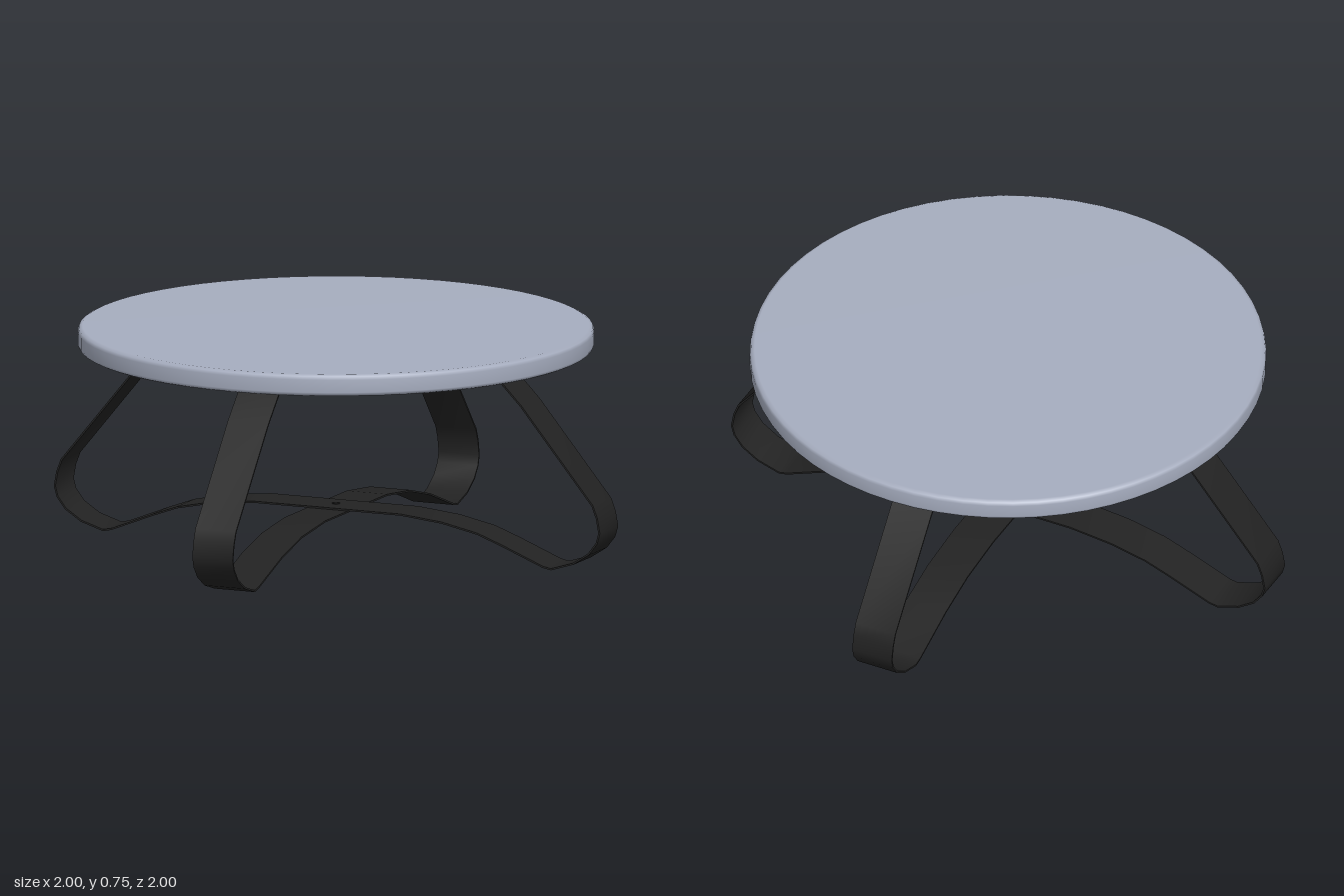
import * as THREE from 'three';
import { toCreasedNormals } from 'three/addons/utils/BufferGeometryUtils.js';

const STRAP_WIDTH = 0.148;
const STRAP_HALF = 0.003; // half of the sheet thickness

// Shared bend of each end: from the mounting tab down to the foot
const END = [[0.30, 0.677], [0.58, 0.677], [0.60, 0.662], [0.71, 0.55], [0.972, 0.232],
  [0.988, 0.19], [0.997, 0.14], [0.987, 0.105], [0.957, 0.066], [0.90, 0.029], [0.82, 0.004], [0.79, 0.010]];

// Thin bent sheet: offset a path to both sides and extrude across its width
function strapGeometry(arch) {
  const half = [...END, ...arch];
  const path = [...half, ...half.slice().reverse().map(([x, y]) => [-x, y])]
    .map(([x, y]) => new THREE.Vector2(x, y));
  const side = (sign) => path.map((p, i) => {
    const a = path[Math.max(i - 1, 0)], b = path[Math.min(i + 1, path.length - 1)];
    const d1 = (i > 0 ? p.clone().sub(a) : b.clone().sub(p)).normalize();
    const d2 = (i < path.length - 1 ? b.clone().sub(p) : d1.clone()).normalize();
    const t = d1.clone().add(d2).normalize();
    const k = sign * STRAP_HALF / Math.max(t.dot(d1), 0.5);
    return new THREE.Vector2(p.x - t.y * k, p.y + t.x * k);
  });
  const shape = new THREE.Shape([...side(1), ...side(-1).reverse()]);
  const g = new THREE.ExtrudeGeometry(shape, { depth: STRAP_WIDTH, bevelEnabled: false });
  g.translate(0, 0, -STRAP_WIDTH / 2);
  return toCreasedNormals(g, 0.6);
}

export function createModel() {
  const group = new THREE.Group();
  const topMat = new THREE.MeshStandardMaterial({ color: 0xa6adbf });
  topMat.name = 'blue grey top';
  const metal = new THREE.MeshStandardMaterial({ color: 0x222222 });
  metal.name = 'black metal';

  const add = (name, geometry, material, parent = group) => {
    const mesh = new THREE.Mesh(geometry, material);
    mesh.name = name;
    parent.add(mesh);
    return mesh;
  };

  // Round top with softened edges
  const profile = [[0, 0.681], [0.848, 0.681], [0.858, 0.686], [0.862, 0.695],
    [0.862, 0.738], [0.858, 0.749], [0.846, 0.755], [0, 0.755]].map(([x, y]) => new THREE.Vector2(x, y));
  add('tabletop', new THREE.LatheGeometry(profile, 64), topMat);

  // Two crossing straps; the second passes just under the first
  const arches = [
    [[0.64, 0.07], [0.55, 0.103], [0.42, 0.130], [0.27, 0.145]],
    [[0.60, 0.078], [0.44, 0.118], [0.25, 0.138]],
  ];
  arches.forEach((arch, i) => {
    const leg = new THREE.Group();
    leg.name = i ? 'lengthwiseLeg' : 'crosswiseLeg';
    leg.rotation.y = i * Math.PI / 2;
    group.add(leg);
    add('strap', strapGeometry(arch), metal, leg);
    // Screws under the mounting tabs
    for (const s of [-1, 1]) for (const x of [0.38, 0.46]) {
      add('screw', new THREE.CylinderGeometry(0.013, 0.011, 0.008, 12), metal, leg).position.set(s * x, 0.670, 0);
    }
  });

  // Bolt joining the straps where they cross
  add('centreBolt', new THREE.CylinderGeometry(0.013, 0.013, 0.02, 12), metal).position.y = 0.1415;

  return group;
}
